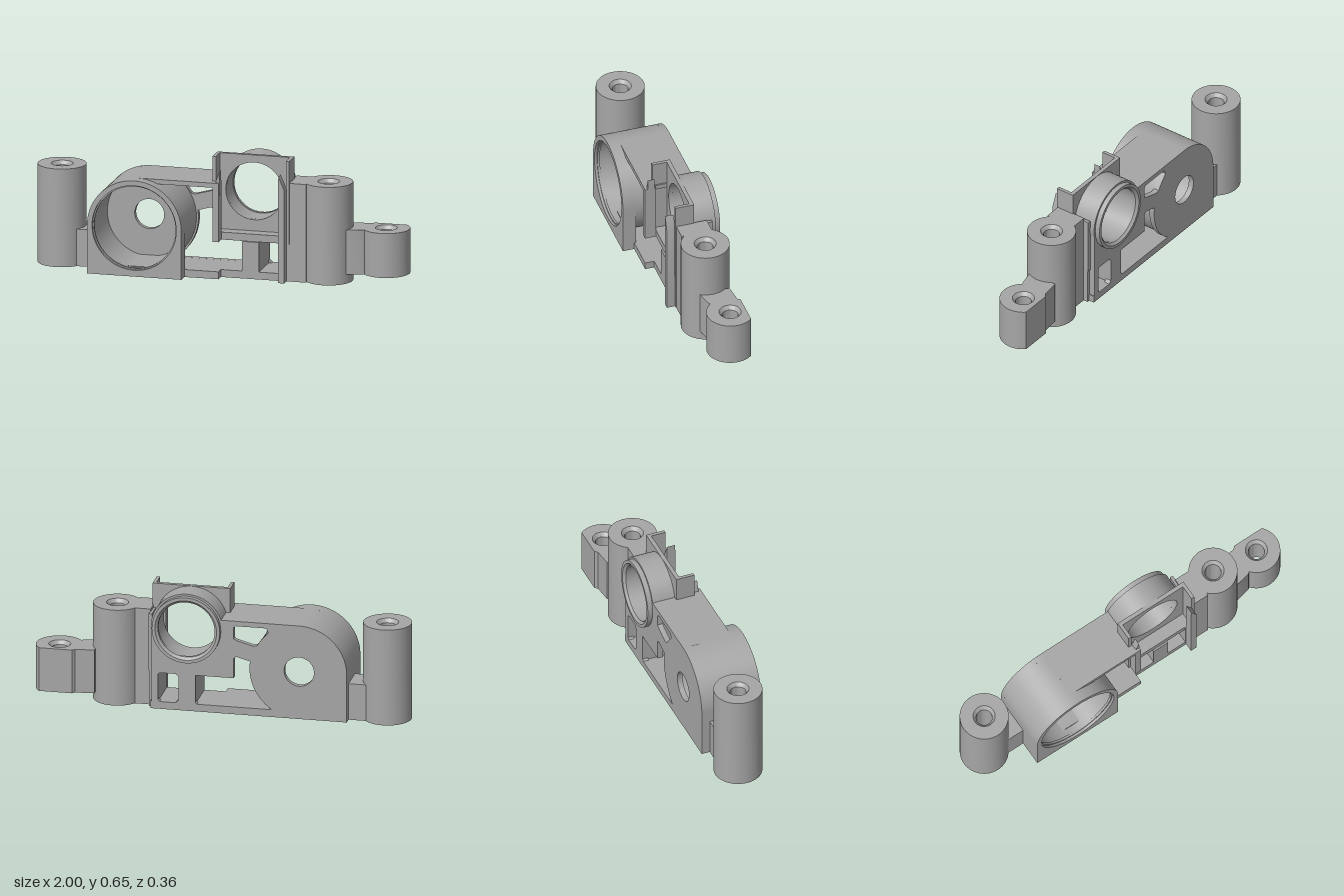
import * as THREE from 'three';
import { toCreasedNormals } from 'three/addons/utils/BufferGeometryUtils.js';

export function createModel() {
  const model = new THREE.Group();
  model.name = 'mountingBracket';
  const grey = new THREE.MeshStandardMaterial({ color: 0xa6a6a6 });
  grey.name = 'plain grey';

  const add = (name, geo) => {
    const mesh = new THREE.Mesh(geo, grey);
    mesh.name = name;
    model.add(mesh);
    return mesh;
  };
  const box = (name, x0, x1, y0, y1, z0, z1) =>
    add(name, new THREE.BoxGeometry(x1 - x0, y1 - y0, z1 - z0)
      .translate((x0 + x1) / 2, (y0 + y1) / 2, (z0 + z1) / 2));
  const poly = (pts, Type = THREE.Shape) => new Type(pts.map(p => new THREE.Vector2(...p)));
  const circle = (x, y, r) => new THREE.Path().absarc(x, y, r, 0, Math.PI * 2, true);
  const extrude = (shape, depth) => toCreasedNormals(
    new THREE.ExtrudeGeometry(shape, { depth, bevelEnabled: false, curveSegments: 40 }), 0.6);
  const slab = (name, shape, z0, z1) => add(name, extrude(shape, z1 - z0).translate(0, 0, z0));
  // Closed ring profile, given counterclockwise as [radius, height]
  const ring = pts => toCreasedNormals(
    new THREE.LatheGeometry([...pts, pts[0]].map(p => new THREE.Vector2(...p)), 56), 0.5);

  // Hub: centre and radius; eyelet: centre
  const hx = -0.425, hy = 0.262, hr = 0.255;
  const ex = 0.175, ey = 0.455;

  // Back plate with its openings
  const plate = new THREE.Shape();
  plate.moveTo(-0.68, 0);
  plate.lineTo(0.365, 0);
  plate.lineTo(0.365, ey);
  plate.absarc(ex, ey, 0.19, 0, Math.PI - 0.32, false);
  plate.lineTo(hx, hy + hr);
  plate.absarc(hx, hy, hr, Math.PI / 2, Math.PI, false);
  plate.closePath();
  const lowerWindow = new THREE.Path();
  lowerWindow.moveTo(0.12, 0.04);
  lowerWindow.lineTo(0.13, 0.05);
  lowerWindow.lineTo(0.13, 0.2);
  lowerWindow.lineTo(-0.075, 0.2);
  lowerWindow.lineTo(-0.075, 0.31);
  lowerWindow.lineTo(-0.09, 0.32);
  lowerWindow.lineTo(-0.163, 0.3);
  lowerWindow.absarc(hx, hy, 0.265, 0.144, -0.99, true);
  lowerWindow.closePath();
  const upperWindow = poly([[-0.26, 0.465], [-0.25, 0.49], [-0.085, 0.49], [-0.075, 0.48],
    [-0.075, 0.42], [-0.09, 0.41], [-0.18, 0.385], [-0.2, 0.39], [-0.22, 0.42]], THREE.Path);
  const sideWindow = poly([[0.235, 0.04], [0.32, 0.04], [0.33, 0.05], [0.33, 0.19],
    [0.32, 0.2], [0.235, 0.2], [0.22, 0.185], [0.22, 0.055]], THREE.Path);
  plate.holes.push(lowerWindow, upperWindow, sideWindow, circle(ex, ey, 0.155), circle(hx, hy, 0.08));
  slab('backPlate', plate, -0.155, -0.125);

  // Round cup: arch with a square foot on the left, and a fully square front rim
  const arch = squareRight => {
    const s = new THREE.Shape();
    s.moveTo(hx - hr, 0);
    if (squareRight) {
      s.lineTo(hx + hr, 0);
      s.lineTo(hx + hr, hy);
      s.absarc(hx, hy, hr, 0, Math.PI, false);
    } else {
      s.lineTo(hx, 0);
      s.absarc(hx, hy, hr, -Math.PI / 2, Math.PI, false);
    }
    s.closePath();
    s.holes.push(circle(hx, hy, 0.228));
    return s;
  };
  slab('cupWall', arch(false), -0.125, 0.11);
  slab('cupRim', arch(true), 0.11, 0.182);
  add('cupLip', ring([[0.23, 0.155], [0.23, 0.168], [0.221, 0.168], [0.221, 0.155]])
    .rotateX(Math.PI / 2).translate(hx, hy, 0));

  // Floor, top wall and lower frame
  box('floorLeft', -0.68, 0.015, 0, 0.04, -0.155, 0.12);
  box('floorRight', 0.015, 0.37, 0, 0.04, -0.155, 0.07);
  box('topWall', hx, -0.005, 0.492, 0.517, -0.155, 0.12);
  box('framePillar', 0.13, 0.22, 0.04, 0.2, -0.125, 0.07);
  box('frameSide', 0.33, 0.385, 0, 0.24, -0.125, 0.07);
  box('frameShelf', -0.01, 0.37, 0.2, 0.24, -0.125, 0.06);

  // Channel around the eyelet: recessed plate and two forward flanges
  const channel = poly([[-0.03, 0.2], [0.385, 0.2], [0.385, 0.65], [-0.03, 0.65]]);
  channel.holes.push(circle(ex, ey, 0.155));
  slab('channelPlate', channel, -0.03, -0.008);
  for (const [side, x] of [['left', 0.367], ['right', -0.03]]) {
    box(side + 'Flange', x, x + 0.018, 0.2, 0.65, -0.03, 0.072);
    box(side + 'ChannelWall', x, x + 0.018, 0.2, 0.515, -0.13, -0.03);
  }
  box('innerWall', -0.075, -0.012, 0.2, 0.515, -0.14, -0.125);
  box('wallFront', -0.018, 0.015, 0.2, 0.517, 0.06, 0.12);

  // Pointed guide tabs
  const tab = (x0, x1, tip, y0) => poly([[x0, y0], [x1, y0], [x1, 0.5], [tip, 0.575], [x0, 0.5]]);
  slab('leftTab', tab(0.335, 0.37, 0.338, 0), 0.068, 0.115);
  slab('rightTab', tab(-0.012, 0.017, 0.014, 0.45), 0.068, 0.105);

  // Eyelet tube with a stepped, chamfered back collar
  add('eyeletTube', ring([[0.155, -0.155], [0.193, -0.155], [0.193, -0.03], [0.155, -0.03]])
    .rotateX(Math.PI / 2).translate(ex, ey, 0));
  add('eyeletCollar', ring([[0.165, -0.182], [0.182, -0.182], [0.182, -0.15], [0.152, -0.15], [0.152, -0.169]])
    .rotateX(Math.PI / 2).translate(ex, ey, 0));

  // Screw posts with countersunk bores
  const post = (name, r, h, x, y, z) => add(name, ring([[0.058, 0], [r, 0], [r, h], [0.058, h],
    [0.042, h - 0.02], [0.042, 0.02]]).translate(x, y, z));
  post('rightPost', 0.128, 0.53, -0.872, 0, -0.03);
  post('leftPost', 0.128, 0.53, 0.572, 0, -0.03);
  box('rightPostBridge', -0.785, -0.675, 0, 0.2, -0.11, 0.05);
  box('leftPostBridge', 0.38, 0.475, 0, 0.53, -0.1, 0.068);

  // Outer ear: plan shape with a flat back, drawn as (x, -z)
  const ear = new THREE.Shape();
  ear.moveTo(0.675, 0.13);
  ear.lineTo(0.675, -0.035);
  ear.lineTo(0.765, -0.015);
  ear.absarc(0.873, 0.07, 0.125, -2.47, 0.75, false);
  ear.lineTo(0.79, 0.155);
  ear.lineTo(0.775, 0.14);
  ear.closePath();
  ear.holes.push(circle(0.873, 0.07, 0.058));
  add('outerEar', extrude(ear, 0.24).rotateX(-Math.PI / 2).translate(0, 0.05, 0));
  post('earBore', 0.059, 0.24, 0.873, 0.05, -0.07);

  return model;
}
